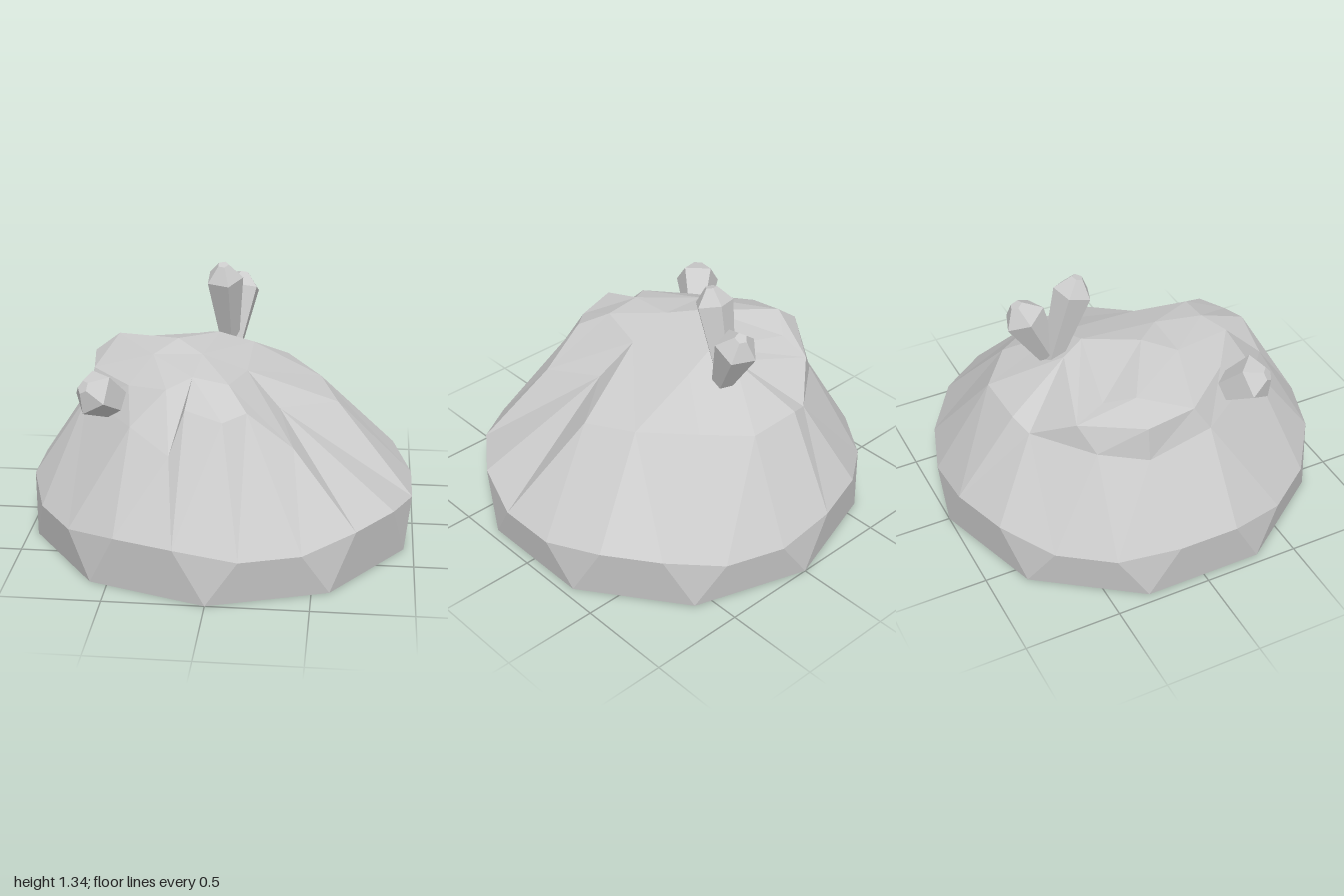
import * as THREE from 'three';

const material = new THREE.MeshStandardMaterial({ color: 0xcccccc, flatShading: true });
const CENTRE_X = -0.1;
const TURN = Math.PI * 2;

// Ring points sorted by their angle around the boulder's axis
function makeRing(points) {
  return points
    .map(p => ({ p, a: (Math.atan2(p[0] - CENTRE_X, p[2]) + TURN) % TURN }))
    .sort((m, n) => m.a - n.a);
}

// Circle of points; height may change with the index
function circle(count, start, height) {
  return Array.from({ length: count }, (_, i) => {
    const a = start + (i / count) * TURN;
    return [Math.sin(a), height(i), Math.cos(a)];
  });
}

// Zip two rings of different counts together with triangles
function zip(lower, upper, out) {
  const at = (ring, i) => ring[i % ring.length].p;
  const angle = (ring, i) => ring[i % ring.length].a + Math.floor(i / ring.length) * TURN;
  const nL = lower.length, nU = upper.length;
  let i = 0, j = 0;
  while (i < nL || j < nU) {
    const moveLower = j >= nU || (i < nL && angle(lower, i + 1) <= angle(upper, j + 1));
    if (moveLower) {
      out.push(...at(lower, i), ...at(lower, i + 1), ...at(upper, j));
      i++;
    } else {
      if (nU > 1) out.push(...at(lower, i), ...at(upper, j + 1), ...at(upper, j));
      j++;
    }
  }
}

function createBoulder() {
  const rings = [
    // ten-sided foot and twenty-sided belt with paired heights
    circle(10, 0, () => 0),
    circle(20, Math.PI / 20, i => (Math.floor(i / 2) % 2 ? 0.28 : 0.23)),
    // slopes, with a dent at the front left
    [
      [0.05, 0.8, 0.65], [0.16, 0.82, 0.56], [0.39, 0.64, 0.55], [0.3, 0.72, 0.22],
      [0.59, 0.68, 0], [0.49, 0.72, -0.27], [0.3, 0.75, -0.53], [0.09, 0.73, -0.7],
      [-0.2, 0.73, -0.69], [-0.31, 0.69, -0.65], [-0.6, 0.69, -0.42], [-0.73, 0.67, -0.2],
      [-0.7, 0.72, 0.15], [-0.41, 0.73, 0.57], [-0.2, 0.65, 0.73], [-0.13, 0.86, 0.65],
    ],
    // shoulder around the top, with the ledge on the right
    [
      [0.06, 0.91, 0.42], [0.13, 0.89, 0.15], [0.13, 0.9, -0.27], [-0.1, 0.92, -0.36],
      [-0.5, 0.82, -0.48], [-0.71, 0.85, -0.2], [-0.67, 0.85, 0.07], [-0.45, 0.86, 0.34],
      [-0.24, 0.9, 0.49], [-0.12, 0.94, 0.41],
    ],
    // crown and peak
    [[-0.1, 0.97, 0.15], [-0.05, 0.96, -0.24], [-0.48, 0.89, -0.33], [-0.58, 0.95, -0.2], [-0.35, 0.96, 0.15]],
    [[-0.24, 1, 0]],
  ].map(makeRing);

  const positions = [];
  for (let k = 0; k + 1 < rings.length; k++) zip(rings[k], rings[k + 1], positions);
  const geometry = new THREE.BufferGeometry();
  geometry.setAttribute('position', new THREE.Float32BufferAttribute(positions, 3));
  geometry.computeVertexNormals();
  const boulder = new THREE.Mesh(geometry, material);
  boulder.name = 'boulder';
  return boulder;
}

// Crystal: narrow foot, wide shoulder and a small blunt tip
function createCrystal(name, from, to, footRadius, radius, tipHeight, spin) {
  const start = new THREE.Vector3(...from);
  const axis = new THREE.Vector3(...to).sub(start);
  const length = axis.length();
  const profile = [
    [0, 0], [footRadius, 0], [radius, length], [radius * 0.3, length + tipHeight], [0, length + tipHeight],
  ].map(([r, y]) => new THREE.Vector2(r, y));
  const geometry = new THREE.LatheGeometry(profile, 5);
  geometry.rotateY(spin);
  const crystal = new THREE.Mesh(geometry, material);
  crystal.name = name;
  crystal.position.copy(start);
  crystal.quaternion.setFromUnitVectors(new THREE.Vector3(0, 1, 0), axis.normalize());
  return crystal;
}

export function createModel() {
  const group = new THREE.Group();
  group.name = 'rock';
  group.add(createBoulder());

  // Flat underside
  const bottom = new THREE.Mesh(new THREE.CircleGeometry(1, 10, Math.PI / 2), material);
  bottom.geometry.rotateX(Math.PI / 2);
  bottom.name = 'underside';
  group.add(bottom);

  group.add(
    createCrystal('tallCrystal', [-0.01, 0.82, -0.4], [-0.03, 1.25, -0.27], 0.045, 0.1, 0.08, 0.3),
    createCrystal('backCrystal', [0.01, 0.82, -0.37], [0.04, 1.13, -0.51], 0.045, 0.11, 0.08, 0.9),
    createCrystal('sideCrystal', [-0.46, 0.72, 0.3], [-0.61, 0.86, 0.45], 0.06, 0.12, 0.07, 0.5),
  );
  return group;
}
